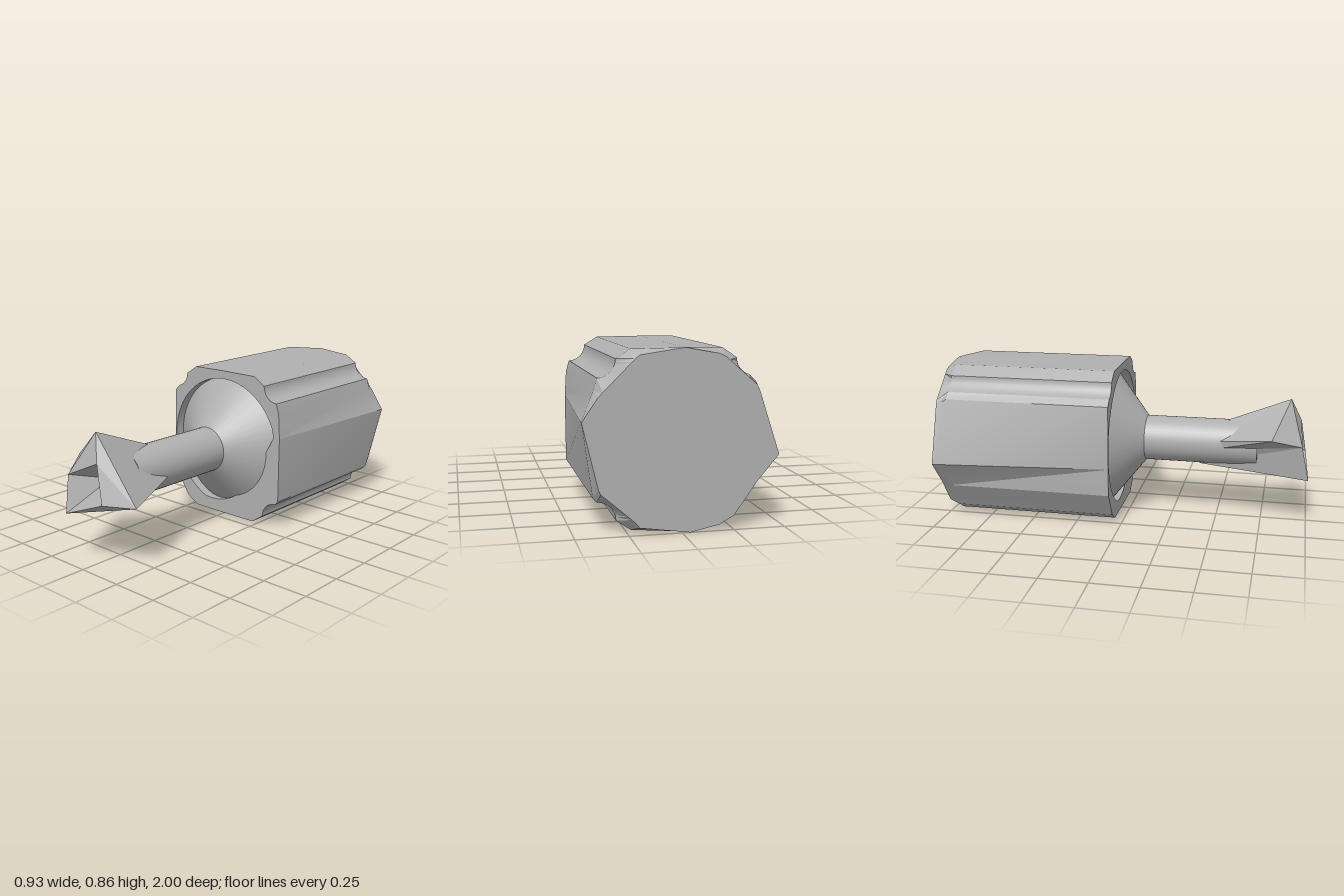
import * as THREE from 'three';
import { toCreasedNormals } from 'three/addons/utils/BufferGeometryUtils.js';

const CX = 0.015, CY = 0.43; // axis of the shaft

// Triangles given as triples of [x, y, z] corners
function fromTriangles(tris, crease) {
  const g = new THREE.BufferGeometry();
  g.setAttribute('position', new THREE.Float32BufferAttribute(tris.flat(2), 3));
  g.computeVertexNormals();
  return crease ? toCreasedNormals(g, crease) : g;
}

// Closed strip joining a front loop to a rear loop (both counter-clockwise from the front)
function strip(front, rear) {
  const tris = [];
  front.forEach((a, i) => {
    const j = (i + 1) % front.length;
    tris.push([a, rear[i], rear[j]], [a, rear[j], front[j]]);
  });
  return tris;
}

// Body outline: each entry holds its front, middle and back position
function bodyLoops() {
  const front = [], mid = [], back = [];
  const add = (x, y, bx, by, mx = x, my = y, mz = -0.94) => {
    front.push([x, y, -0.045]);
    mid.push([mx, my, mz]);
    back.push([bx, by, -1]);
  };
  const tip = (x, y, mx, my) => add(x, y, mx, my, mx, my, -0.985);
  const groove = (cx, cy, r, a0, a1, b0, b1) => {
    const n = 9;
    for (let i = 0; i <= n; i++) {
      const t = i / n, a = THREE.MathUtils.degToRad(a0 + (a1 - a0) * t);
      add(cx + r * Math.cos(a), cy + r * Math.sin(a),
        b0[0] + (b1[0] - b0[0]) * t, b0[1] + (b1[1] - b0[1]) * t);
    }
  };
  tip(0.41, 0.53, 0.465, 0.53);
  add(0.402, 0.66, 0.39, 0.64);
  groove(0.385, 0.805, 0.085, -90, -180, [0.37, 0.66], [0.22, 0.81]);
  add(0.23, 0.848, 0.2, 0.825);
  tip(-0.01, 0.85, -0.01, 0.855);
  add(-0.2, 0.848, -0.17, 0.825);
  groove(-0.35, 0.80, 0.08, 0, -75, [-0.2, 0.81], [-0.35, 0.68]);
  add(-0.365, 0.69, -0.365, 0.65);
  tip(-0.37, 0.35, -0.465, 0.35);
  add(-0.365, 0.2, -0.355, 0.22);
  add(-0.27, 0.055, -0.25, 0.07);
  add(-0.2, 0.012, -0.18, 0.03);
  tip(-0.04, 0.01, -0.04, 0.0);
  add(0.23, 0.012, 0.2, 0.035);
  groove(0.39, 0.06, 0.09, 180, 90, [0.22, 0.06], [0.38, 0.2]);
  add(0.407, 0.17, 0.39, 0.22);
  return { front, mid, back };
}

// Mouth of the recess: round, with the lower right filled in
function mouthLoop(z) {
  const pts = [], n = 48;
  for (let i = 0; i < n; i++) {
    const deg = -180 + (360 * i) / n, a = THREE.MathUtils.degToRad(deg);
    let r = 0.375;
    if (deg > -112 && deg < 17) {
      const k = Math.min((deg + 112) / 42, (17 - deg) / 15, 1);
      r -= 0.075 * k;
    }
    pts.push([CX + r * Math.cos(a), CY + r * Math.sin(a), z]);
  }
  return pts;
}

export function createModel() {
  const group = new THREE.Group();
  const grey = new THREE.MeshStandardMaterial({ color: 0xb0b0b0, side: THREE.DoubleSide });
  grey.name = 'grey';
  const add = (name, geometry) => {
    const m = new THREE.Mesh(geometry, grey);
    m.name = name;
    group.add(m);
    return m;
  };

  // Grooved body with a chamfered back
  const { front, mid, back } = bodyLoops();
  const centre = [0, CY, -1];
  const cap = back.map((p, i) => [p, centre, back[(i + 1) % back.length]]);
  add('body', fromTriangles([...strip(front, mid), ...strip(mid, back), ...cap], 0.4));

  // Front rim around the recess, and the recess wall
  const toVec = (p) => new THREE.Vector2(p[0], p[1]);
  const rim = new THREE.Shape(front.map(toVec));
  const mouth = mouthLoop(-0.045);
  rim.holes.push(new THREE.Path(mouth.map(toVec)));
  add('frontRim', new THREE.ShapeGeometry(rim).translate(0, 0, -0.045));
  add('recessWall', fromTriangles(strip(mouthLoop(-0.105), mouth), 0.5));

  // Cone and shaft on one axis
  const cone = new THREE.CylinderGeometry(0.125, 0.385, 0.208, 48, 1, true);
  add('cone', cone.rotateX(Math.PI / 2).translate(CX, CY, -0.004));
  const shaft = new THREE.CylinderGeometry(0.125, 0.125, 0.64, 40);
  add('shaft', shaft.rotateX(Math.PI / 2).translate(CX, CY, 0.40));

  // Faceted head with a hollow front
  const T = [0.01, 0.69, 0.89], L = [-0.23, 0.515, 0.8], R = [0.285, 0.36, 0.89];
  const A = [-0.13, 0.46, 0.96], B = [0.08, 0.555, 0.95];
  const C = [0.14, 0.365, 0.98], D = [-0.11, 0.27, 1.0], P = [0.005, 0.43, 0.8];
  const rear = [[0.015, 0.515, 0.45], [-0.075, 0.45, 0.45], [-0.07, 0.4, 0.45],
    [-0.02, 0.305, 0.4], [0.105, 0.41, 0.45]];
  const facets = [[T, L, A], [T, A, B], [T, B, R], [B, C, R], [C, D, R]];
  const hollow = [[A, D, P], [D, C, P], [C, B, P], [B, A, P]];
  add('head', fromTriangles([...strip([T, L, A, D, R], rear), ...facets, ...hollow]));

  return group;
}
